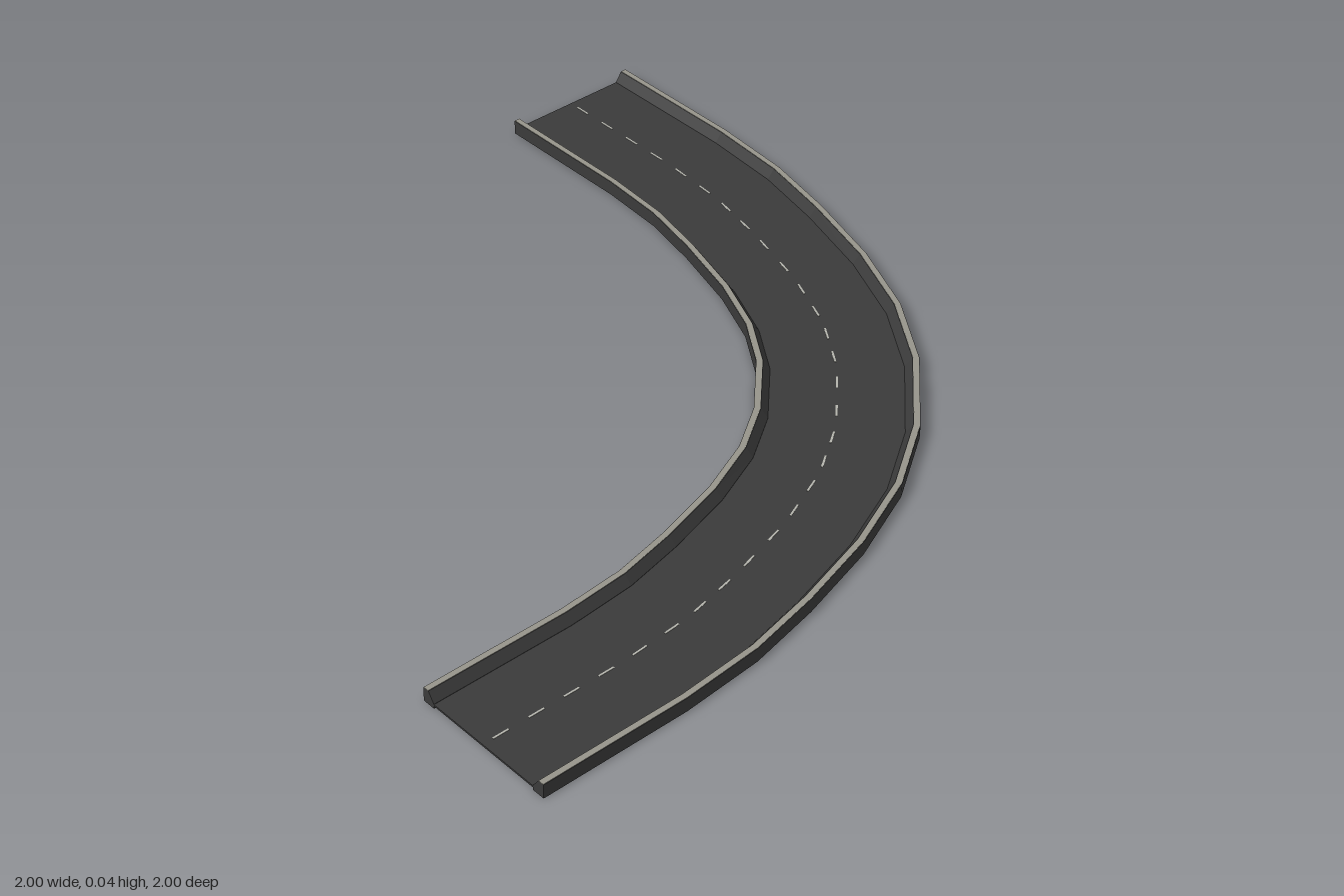
import * as THREE from 'three';

const asphalt = new THREE.MeshStandardMaterial({ color: 0x3a3a3a, flatShading: true });
asphalt.name = 'asphalt';
const trim = new THREE.MeshStandardMaterial({ color: 0x96948a, flatShading: true });
trim.name = 'pale trim';
const paint = new THREE.MeshStandardMaterial({ color: 0xb4b4ac, flatShading: true });
paint.name = 'lane paint';

// Centre line [x, z] of the bend; its second half mirrors the first
const half = [[-1, -0.8], [-0.6, -0.8], [-0.396, -0.785], [-0.212, -0.747],
  [-0.002, -0.688], [0.183, -0.61], [0.342, -0.504]];
const path = [...half, ...half.map(([x, z]) => [-z, -x]).reverse()]
  .map(([x, z]) => new THREE.Vector2(x, z));

// Stations: a point and the sideways direction pointing out of the bend
const stations = path.map((p, i) => {
  const dir = new THREE.Vector2();
  if (i > 0) dir.add(p.clone().sub(path[i - 1]).normalize());
  if (i < path.length - 1) dir.add(path[i + 1].clone().sub(p).normalize());
  if (i === 0) dir.set(1, 0);
  if (i === path.length - 1) dir.set(0, 1);
  dir.normalize();
  return { p, n: new THREE.Vector2(dir.y, -dir.x) };
});

// Sweeps a closed convex profile of [sideways, height] points along stations
function sweep(profile, line) {
  const pos = [], index = [], m = profile.length;
  for (const { p, n } of line) {
    for (const [u, y] of profile) pos.push(p.x + n.x * u, y, p.y + n.y * u);
  }
  for (let i = 0; i < line.length - 1; i++) {
    for (let j = 0; j < m; j++) {
      const a = i * m + j, b = i * m + (j + 1) % m;
      index.push(a, b, b + m, a, b + m, a + m);
    }
  }
  const last = (line.length - 1) * m;
  for (let j = 1; j < m - 1; j++) {
    index.push(0, j + 1, j, last, last + j, last + j + 1);
  }
  const geo = new THREE.BufferGeometry();
  geo.setAttribute('position', new THREE.Float32BufferAttribute(pos, 3));
  geo.setIndex(index);
  const flat = geo.toNonIndexed();
  flat.computeVertexNormals();
  return flat;
}

const rect = (u0, u1, y0, y1) => [[u0, y0], [u1, y0], [u1, y1], [u0, y1]];
const mirror = (profile) => profile.map(([u, y]) => [-u, y]).reverse();

export function createModel() {
  const model = new THREE.Group();
  model.name = 'curvedRoad';
  const add = (name, geo, mat, parent = model) => {
    const mesh = new THREE.Mesh(geo, mat);
    mesh.name = name;
    parent.add(mesh);
  };

  // Road deck
  add('roadDeck', sweep(rect(-0.17, 0.17, 0.007, 0.012), stations), asphalt);

  // Barriers with sloped road side, and pale strips along their tops
  const barrier = [[0.165, 0], [0.2, 0], [0.2, 0.039], [0.183, 0.039], [0.165, 0.013]];
  const strip = rect(0.184, 0.199, 0.0385, 0.04);
  add('outerBarrier', sweep(barrier, stations), asphalt);
  add('innerBarrier', sweep(mirror(barrier), stations), asphalt);
  add('outerBarrierTrim', sweep(strip, stations), trim);
  add('innerBarrierTrim', sweep(mirror(strip), stations), trim);

  // Dashed centre line
  const dashes = new THREE.Group();
  dashes.name = 'centreLine';
  model.add(dashes);
  const dashProfile = rect(-0.0025, 0.0025, 0.012, 0.013);
  for (let i = 0; i < path.length - 1; i++) {
    const a = path[i], b = path[i + 1];
    const length = a.distanceTo(b);
    const count = Math.max(1, Math.round(length / 0.1));
    const dir = b.clone().sub(a).normalize();
    const n = new THREE.Vector2(dir.y, -dir.x);
    for (let k = 0; k < count; k++) {
      const mid = ((k + 0.5) / count) * length;
      const line = [-0.022, 0.022].map((s) => ({ p: a.clone().addScaledVector(dir, mid + s), n }));
      add('laneDash', sweep(dashProfile, line), paint, dashes);
    }
  }
  return model;
}
